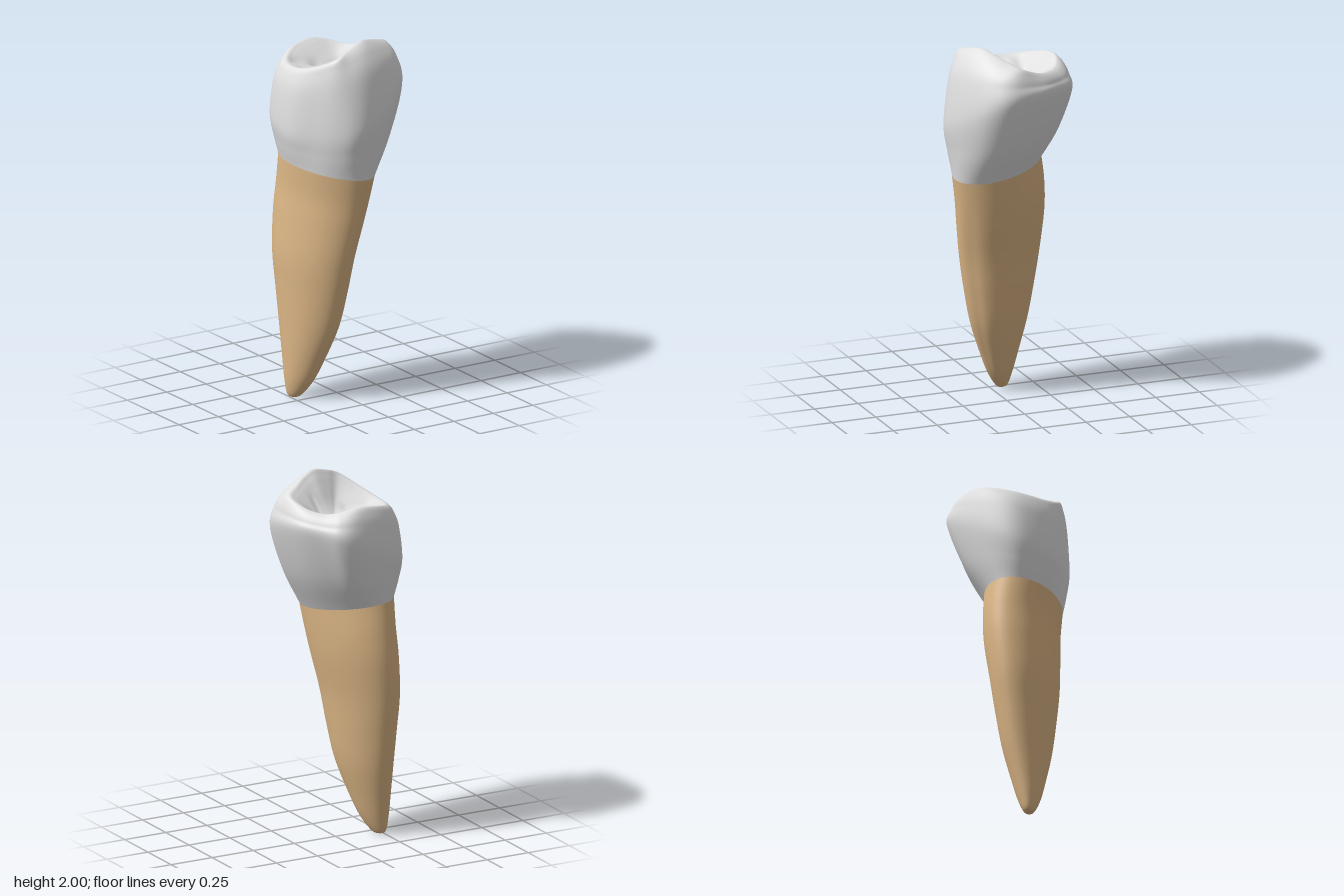
import * as THREE from 'three';

const COLS = 112;
const V = (x, y, z) => new THREE.Vector3(x, y, z);
const curve = (pts, closed = false) => new THREE.CatmullRomCurve3(pts, closed, 'catmullrom', 0.5);

// Root widths by height: y, x min, x max, z min, z max
const ROOT = [
  [0, -0.23, -0.228, -0.066, -0.064],
  [0.015, -0.26, -0.195, -0.098, -0.028],
  [0.09, -0.275, -0.145, -0.12, 0.025],
  [0.2, -0.282, -0.1, -0.145, 0.075],
  [0.4, -0.29, -0.035, -0.19, 0.15],
  [0.6, -0.3, 0.003, -0.225, 0.195],
  [0.8, -0.31, 0.035, -0.255, 0.228],
  [1.0, -0.3, 0.077, -0.27, 0.255],
  [1.15, -0.288, 0.103, -0.262, 0.272],
  [1.3, -0.29, 0.125, -0.24, 0.292],
];
const SKEW = 0.14; // turns the oval root section toward the +x +z diagonal

// Crown: widest outline x, z, then the matching point x, y, z on the biting rim
const CROWN = [
  [0.328, 0.08, 0.27, 1.928, 0.02],
  [0.28, 0.2, 0.2, 1.957, 0.085],
  [0.15, 0.285, 0.12, 1.985, 0.14],
  [0.0, 0.33, 0.04, 2.0, 0.175],
  [-0.1, 0.322, -0.06, 1.975, 0.205],
  [-0.18, 0.265, -0.145, 1.94, 0.22],
  [-0.25, 0.168, -0.21, 1.89, 0.135],
  [-0.318, 0.04, -0.25, 1.855, 0.02],
  [-0.323, -0.1, -0.25, 1.848, -0.1],
  [-0.28, -0.22, -0.205, 1.862, -0.185],
  [-0.15, -0.295, -0.11, 1.89, -0.25],
  [0.04, -0.331, 0.01, 1.905, -0.27],
  [0.14, -0.315, 0.11, 1.885, -0.24],
  [0.2, -0.24, 0.165, 1.868, -0.18],
  [0.29, -0.11, 0.235, 1.885, -0.09],
];
const PIT = V(0.06, 1.8, -0.09);

// Grooves on the biting surface: x, z of both ends, depth, width
const GROOVES = [
  [-0.18, -0.15, -0.05, -0.12, 0.014, 0.035],
  [-0.05, -0.12, 0.18, -0.09, 0.014, 0.03],
  [-0.18, -0.03, -0.07, 0.0, 0.012, 0.035],
  [0.11, -0.08, 0.12, 0.03, 0.006, 0.018],
];

const outline = curve(CROWN.map(([x, z]) => V(x, 0, z)), true);
const rim = curve(CROWN.map(([, , x, y, z]) => V(x, y, z)), true);
const rootX = curve(ROOT.map(([y, x0, x1]) => V(x0, y, x1)));
const rootZ = curve(ROOT.map(([y, , , z0, z1]) => V(z0, y, z1)));

// Point on the root; t runs from the tip (0) to the wavy neck line (1)
function rootPoint(t, angle) {
  const a = rootX.getPoint(t), b = rootZ.getPoint(t);
  // shallow lengthwise hollow
  const hollow = 1 - 0.04 * Math.exp(-(((angle - 0.9) / 0.25) ** 2)) * Math.sin(Math.PI * t);
  const c = Math.cos(angle - SKEW), s = Math.sin(angle + SKEW);
  const wave = -0.022 * c - 0.028 * s;
  return V(
    (a.x + a.z) / 2 + ((a.z - a.x) / 2) * c * hollow,
    Math.max(0, a.y) + wave * THREE.MathUtils.smoothstep(t, 0.6, 1),
    (b.x + b.z) / 2 + ((b.z - b.x) / 2) * s * hollow
  );
}

function grooveDepth(x, z) {
  let sum = 0;
  for (const [x0, z0, x1, z1, depth, width] of GROOVES) {
    const dx = x1 - x0, dz = z1 - z0;
    const k = THREE.MathUtils.clamp(((x - x0) * dx + (z - z0) * dz) / (dx * dx + dz * dz), 0, 1);
    const d = Math.hypot(x - x0 - k * dx, z - z0 - k * dz);
    sum += depth * Math.exp(-((d / width) ** 2));
  }
  return sum;
}

// Blend two points with separate amounts across and in height
const blend = (p, q, across, up) =>
  V(p.x + (q.x - p.x) * across, p.y + (q.y - p.y) * up, p.z + (q.z - p.z) * across);

// Vertical profile of the crown: neck, bulge, rim and down into the pit
function crownProfile(u, angle) {
  const neck = rootPoint(1, angle);
  const bulge = outline.getPoint(u);
  bulge.y = 1.64 + 0.36 * bulge.x - 0.15 * bulge.z;
  const edge = rim.getPoint(u);
  const inner = [0.15, 0.35, 0.6, 0.82, 1].map((t) =>
    blend(edge, PIT, t, Math.sin((t * Math.PI) / 2) ** 1.5));
  return curve([
    neck, blend(neck, bulge, 0.57, 0.45), bulge,
    blend(bulge, edge, 0.22, 0.58), blend(bulge, edge, 0.58, 0.87), edge, ...inner,
  ]);
}

// Skin a closed tube from columns of points
function skin(columns) {
  const rows = columns[0].length, pos = [], index = [];
  for (let r = 0; r < rows; r++) {
    for (let c = 0; c < COLS; c++) {
      pos.push(...columns[c][r].toArray());
      if (r === rows - 1) continue;
      const a = r * COLS + c, d = r * COLS + ((c + 1) % COLS);
      index.push(a, a + COLS, d, d, a + COLS, d + COLS);
    }
  }
  const g = new THREE.BufferGeometry();
  g.setAttribute('position', new THREE.Float32BufferAttribute(pos, 3));
  g.setIndex(index);
  g.computeVertexNormals();
  return g;
}

export function createModel() {
  const enamel = new THREE.MeshStandardMaterial({ color: 0xe0e0e0 });
  enamel.name = 'enamel';
  const dentine = new THREE.MeshStandardMaterial({ color: 0xdeb887 });
  dentine.name = 'dentine';

  const rootCols = [], crownCols = [];
  for (let c = 0; c < COLS; c++) {
    const u = c / COLS, o = outline.getPoint(u), angle = Math.atan2(o.z, o.x);
    rootCols.push(Array.from({ length: 73 }, (_, r) => rootPoint(r / 72, angle)));
    const profile = crownProfile(u, angle);
    crownCols.push(Array.from({ length: 101 }, (_, r) => {
      const p = profile.getPoint(r / 100);
      // grooves fade in inside the rim
      p.y -= grooveDepth(p.x, p.z) * THREE.MathUtils.smoothstep(r, 52, 66);
      return p;
    }));
  }

  const root = new THREE.Mesh(skin(rootCols), dentine);
  root.name = 'root';
  const crown = new THREE.Mesh(skin(crownCols), enamel);
  crown.name = 'crown';

  const tooth = new THREE.Group();
  tooth.name = 'tooth';
  tooth.add(root, crown);
  return tooth;
}
